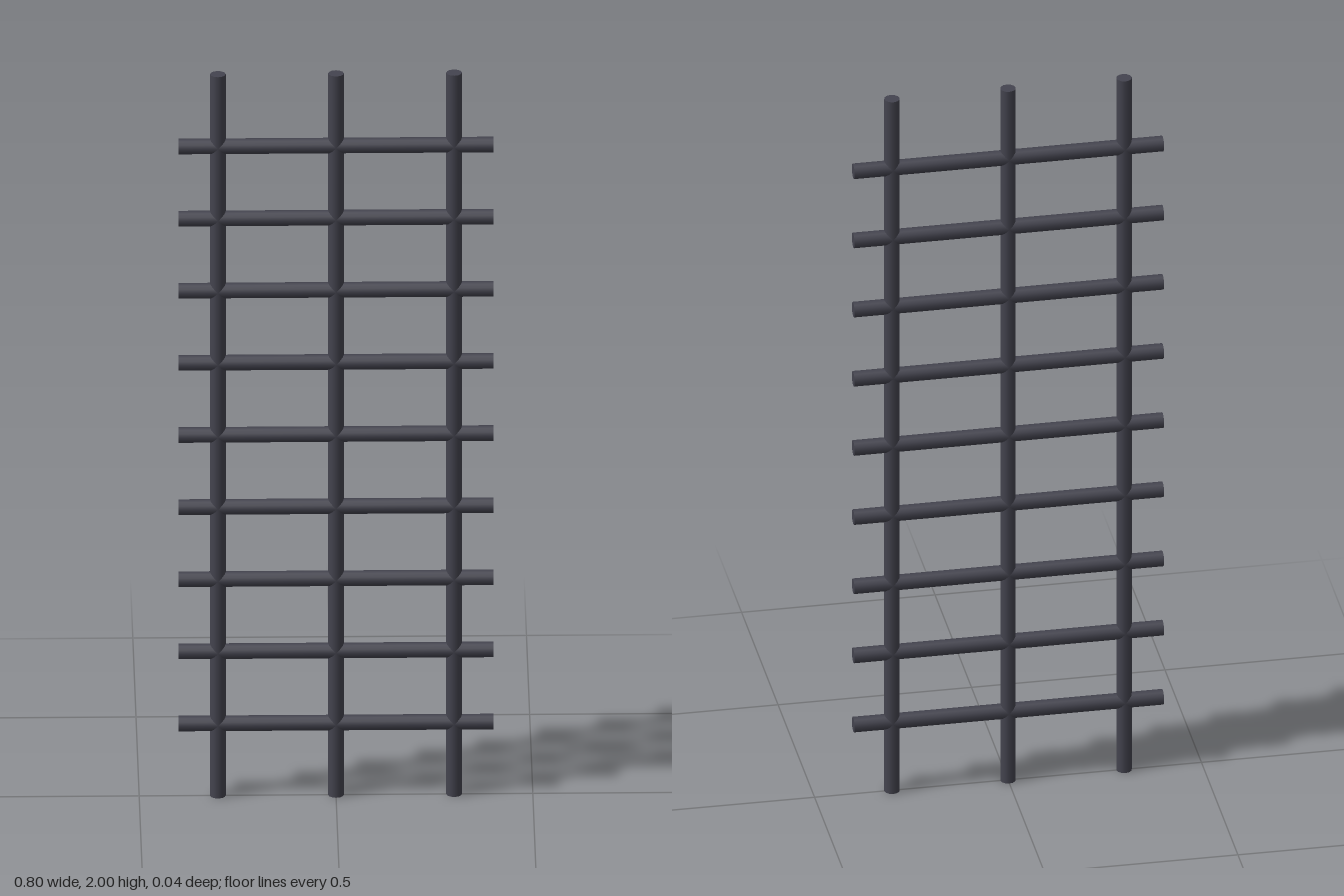
import * as THREE from 'three';

const RADIUS = 0.02;
const SIDES = 12;

export function createModel() {
  const model = new THREE.Group();
  model.name = 'barGrille';
  const iron = new THREE.MeshStandardMaterial({ color: 0x44444f });

  const uprightGeometry = new THREE.CylinderGeometry(RADIUS, RADIUS, 2, SIDES);
  const rungGeometry = new THREE.CylinderGeometry(RADIUS, RADIUS, 0.8, SIDES).rotateZ(Math.PI / 2);

  const addBar = (name, geometry, x, y) => {
    const bar = new THREE.Mesh(geometry, iron);
    bar.name = name;
    bar.position.set(x, y, 0);
    model.add(bar);
  };

  // Three vertical bars
  addBar('rightUpright', uprightGeometry, -0.3, 1);
  addBar('middleUpright', uprightGeometry, 0, 1);
  addBar('leftUpright', uprightGeometry, 0.3, 1);

  // Nine evenly spaced crossbars
  for (let i = 1; i <= 9; i++) addBar(`crossbar${i}`, rungGeometry, 0, i * 0.2);

  return model;
}
